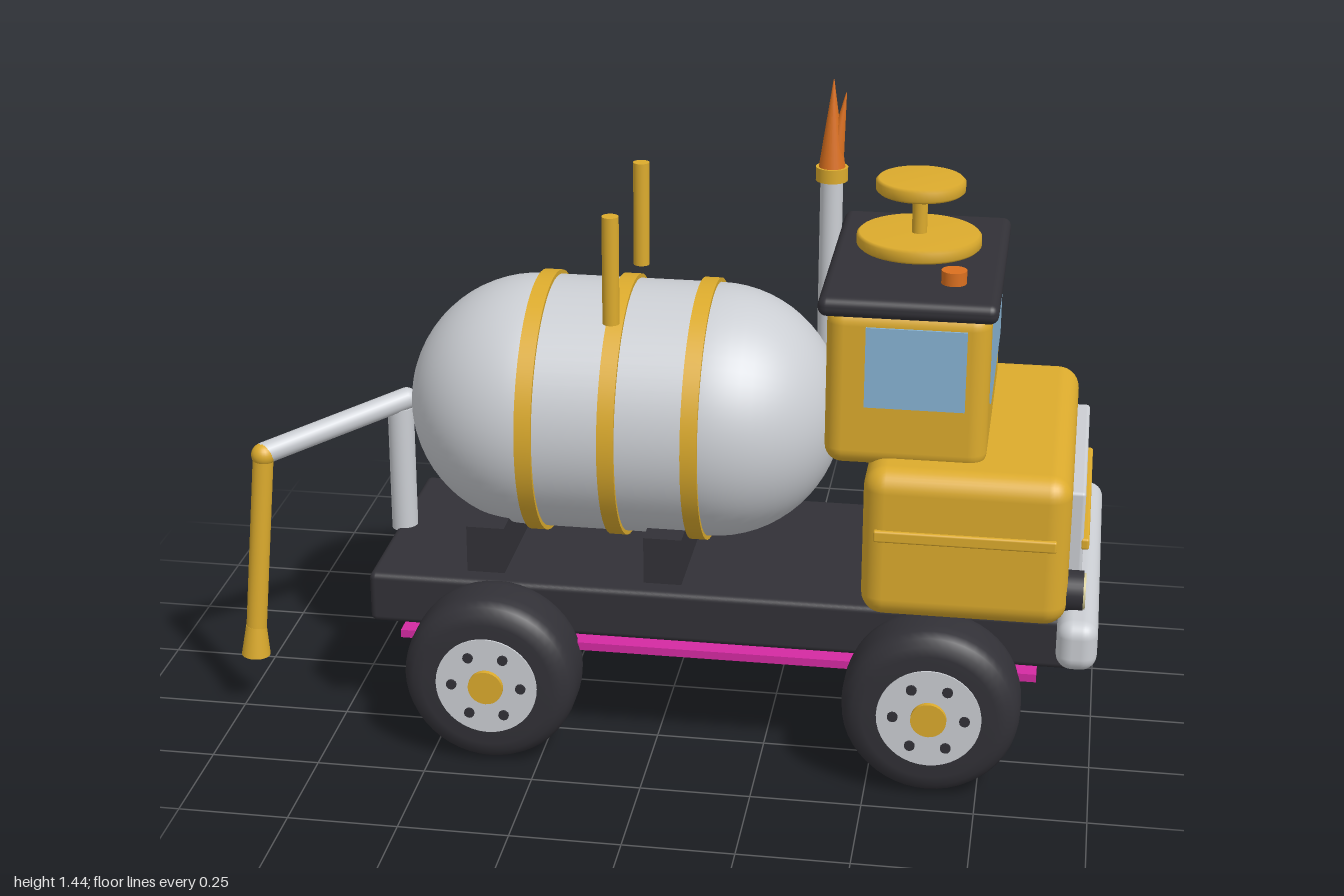
import * as THREE from 'three';
import { RoundedBoxGeometry } from 'three/addons/geometries/RoundedBoxGeometry.js';

const mat = (name, color) => {
  const m = new THREE.MeshStandardMaterial({ color });
  m.name = name;
  return m;
};

export function createModel() {
  const yellow = mat('yellow paint', 0xdcab2d);
  const silver = mat('silver metal', 0xcbced3);
  const dark = mat('dark rubber and frame', 0x323137);
  const magenta = mat('magenta underbody', 0xd42aa2);
  const glass = mat('blue glass', 0x88b4d4);
  const orange = mat('orange', 0xdb701f);
  const cream = mat('cream lamp', 0xd9cf98);

  const truck = new THREE.Group();
  truck.name = 'tankerTruck';

  const add = (name, geometry, material, x = 0, y = 0, z = 0, parent = truck) => {
    const mesh = new THREE.Mesh(geometry, material);
    mesh.name = name;
    mesh.position.set(x, y, z);
    parent.add(mesh);
    return mesh;
  };
  // Box given by its limits; r rounds the edges
  const box = (name, material, x0, x1, y0, y1, z0, z1, r = 0) => {
    const s = [x1 - x0, y1 - y0, z1 - z0];
    const g = r ? new RoundedBoxGeometry(...s, 4, r) : new THREE.BoxGeometry(...s);
    return add(name, g, material, (x0 + x1) / 2, (y0 + y1) / 2, (z0 + z1) / 2);
  };
  // Upright cylinder from y0 to y1
  const post = (name, material, x, z, y0, y1, r0, r1 = r0) =>
    add(name, new THREE.CylinderGeometry(r1, r0, y1 - y0, 32), material, x, (y0 + y1) / 2, z);
  // Cylinder or cone between two points
  const rod = (name, material, a, b, r0, r1 = r0) => {
    const p = new THREE.Vector3(...a), q = new THREE.Vector3(...b);
    const d = q.clone().sub(p);
    const mesh = add(name, new THREE.CylinderGeometry(r1, r0, d.length(), 24), material);
    mesh.position.copy(p).add(q).multiplyScalar(0.5);
    mesh.quaternion.setFromUnitVectors(new THREE.Vector3(0, 1, 0), d.normalize());
    return mesh;
  };

  // Frame and underbody
  box('chassis', dark, -0.67, 0.95, 0.265, 0.388, -0.29, 0.29, 0.015);
  box('underbodyPlate', magenta, -0.59, 0.87, 0.245, 0.264, -0.32, 0.32);

  // Wheels: lathed tyre, rim, hub and bolts, alike on both faces
  const tyreProfile = [[0.1, -0.088], [0.15, -0.088], [0.172, -0.083], [0.188, -0.071],
    [0.197, -0.052], [0.2, -0.028], [0.2, 0.028], [0.197, 0.052], [0.188, 0.071],
    [0.172, 0.083], [0.15, 0.088], [0.1, 0.088]].map(p => new THREE.Vector2(...p));
  const tyre = new THREE.LatheGeometry(tyreProfile, 48);
  const rim = new THREE.CylinderGeometry(0.117, 0.117, 0.184, 40);
  const hub = new THREE.CylinderGeometry(0.04, 0.04, 0.206, 28);
  const bolt = new THREE.CylinderGeometry(0.012, 0.012, 0.194, 12);
  for (const x of [-0.363, 0.64]) {
    for (const z of [-0.353, 0.353]) {
      const wheel = new THREE.Group();
      wheel.name = (x > 0 ? 'front' : 'rear') + 'Wheel';
      wheel.position.set(x, 0.2, z);
      wheel.rotation.x = Math.PI / 2;
      add('tyre', tyre, dark, 0, 0, 0, wheel);
      add('rim', rim, silver, 0, 0, 0, wheel);
      add('hub', hub, yellow, 0, 0, 0, wheel);
      for (let i = 0; i < 6; i++) {
        const a = i * Math.PI / 3;
        add('bolt', bolt, dark, 0.08 * Math.cos(a), 0, 0.08 * Math.sin(a), wheel);
      }
      truck.add(wheel);
    }
  }

  // Tank with straps and saddles
  const tank = add('tank', new THREE.CapsuleGeometry(0.295, 0.42, 16, 64), silver, -0.112, 0.731, 0);
  tank.rotation.z = Math.PI / 2;
  for (const x of [-0.298, -0.11, 0.078]) {
    const s = add('tankStrap', new THREE.CylinderGeometry(0.305, 0.305, 0.038, 64), yellow, x, 0.731, 0);
    s.rotation.z = Math.PI / 2;
  }
  for (const x of [-0.403, 0.01]) box('tankSaddle', dark, x - 0.044, x + 0.044, 0.38, 0.5, -0.24, 0.24);
  for (const z of [-0.207, 0.207]) post('ventPipe', yellow, -0.11, z, 1.005, 1.255, 0.019);

  // Cab, hood and roof
  box('cab', yellow, 0.377, 0.735, 0.73, 1.1, -0.293, 0.293, 0.04);
  box('hood', yellow, 0.473, 0.928, 0.402, 0.755, -0.378, 0.378, 0.05);
  box('roof', dark, 0.36, 0.75, 1.085, 1.13, -0.32, 0.32, 0.02);
  box('windshield', glass, 0.731, 0.739, 0.873, 1.06, -0.228, 0.228);
  for (const s of [-1, 1]) {
    box('sideWindow', glass, 0.465, 0.685, 0.875, 1.06, s * 0.294 - 0.004, s * 0.294 + 0.004);
    box('sideTrim', yellow, 0.5, 0.9, 0.593, 0.62, s * 0.378 - 0.008, s * 0.378 + 0.008, 0.005);
  }

  // Nose: grille, headlights and bumper
  box('grille', silver, 0.915, 0.957, 0.44, 0.69, -0.268, 0.268, 0.008);
  box('grilleBar', yellow, 0.95, 0.97, 0.553, 0.58, -0.268, 0.268, 0.006);
  for (const z of [-0.295, 0.295]) {
    const ring = add('headlightRing', new THREE.CylinderGeometry(0.047, 0.047, 0.05, 32), dark, 0.938, 0.465, z);
    const lens = add('headlightLens', new THREE.CylinderGeometry(0.042, 0.042, 0.008, 32), cream, 0.964, 0.465, z);
    ring.rotation.z = lens.rotation.z = -Math.PI / 2;
  }
  box('bumper', silver, 0.91, 1.0, 0.32, 0.437, -0.416, 0.416, 0.035);

  // Roof fittings
  post('dishStem', yellow, 0.555, 0, 1.12, 1.285, 0.017);
  const disc = (name, r, y) => {
    const c = 0.006, h = 0.016;
    const pts = [[0, -h], [r - c, -h], [r, c - h], [r, h - c], [r - c, h], [0, h]];
    add(name, new THREE.LatheGeometry(pts.map(p => new THREE.Vector2(...p)), 48), yellow, 0.555, y, 0);
  };
  disc('lowerDisc', 0.14, 1.17);
  disc('upperDisc', 0.1, 1.296);
  post('roofLamp', orange, 0.645, 0.175, 1.125, 1.16, 0.028);

  // Exhaust stack with flame
  post('exhaustBase', dark, 0.325, -0.325, 0.75, 0.785, 0.04);
  post('exhaustPipe', silver, 0.325, -0.325, 0.77, 1.215, 0.027);
  post('exhaustCollar', yellow, 0.325, -0.325, 1.197, 1.23, 0.038);
  rod('flame', orange, [0.325, 1.225, -0.325], [0.325, 1.44, -0.325], 0.032, 0.001);
  rod('flameTongue', orange, [0.327, 1.225, -0.325], [0.355, 1.41, -0.325], 0.025, 0.001);

  // Rear boom with hanging hose
  post('boomPost', silver, -0.655, 0, 0.38, 0.69, 0.031);
  rod('boomArm', silver, [-0.64, 0.712, 0], [-0.93, 0.642, 0.22], 0.026);
  add('boomEndBall', new THREE.SphereGeometry(0.026, 24, 16), silver, -0.64, 0.712, 0);
  add('hoseElbow', new THREE.SphereGeometry(0.028, 24, 16), yellow, -0.928, 0.64, 0.22);
  rod('hose', yellow, [-0.928, 0.64, 0.22], [-0.963, 0.2, 0.242], 0.024);
  rod('hoseNozzle', yellow, [-0.963, 0.21, 0.242], [-0.967, 0.135, 0.244], 0.024, 0.034);

  return truck;
}
